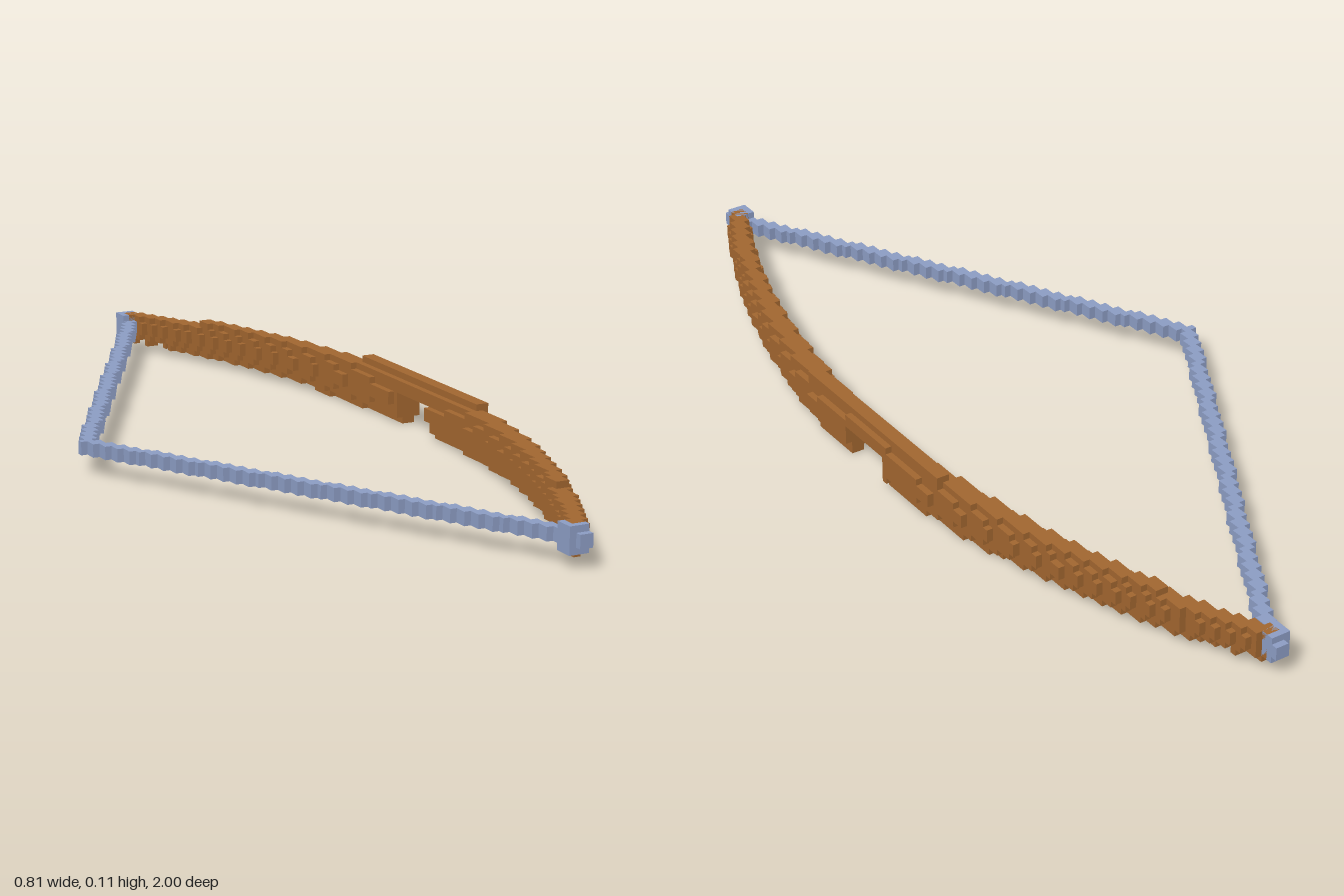
import * as THREE from 'three';
import { mergeGeometries } from 'three/addons/utils/BufferGeometryUtils.js';

const V = 2 / 145; // block size; grid is 59 x 8 x 145 blocks, z index k runs -72..72

// Box covering blocks x0..x1, y0..y1 and slices k0..k1 (inclusive)
function blockBox(x0, x1, y0, y1, k0, k1) {
  const g = new THREE.BoxGeometry((x1 - x0) * V, (y1 - y0) * V, (k1 - k0 + 1) * V);
  g.translate(((x0 + x1) / 2 - 29.5) * V, ((y0 + y1) / 2) * V, ((k0 + k1) / 2) * V);
  return g;
}

// Builds rows of blocks from run(y, k) -> [x0, x1] or null, joining equal slices
function blockRows(y0, y1, step, kMax, run) {
  const parts = [];
  for (let y = y0; y < y1; y += step) {
    let current = null, start = 0;
    for (let k = -kMax; k <= kMax + 1; k++) {
      const r = k <= kMax ? run(y, k) : null;
      const same = current && r && r[0] === current[0] && r[1] === current[1];
      if (same) continue;
      if (current) parts.push(blockBox(current[0], current[1], y, y + step, start, k - 1));
      current = r;
      start = k;
    }
  }
  return mergeGeometries(parts);
}

const sag = (k) => 145.5 - Math.sqrt(145.5 * 145.5 - k * k);
const inNotch = (y, k) => y < 5 && k >= -4 && k <= 5;

// Curved limb with rounded section, slimmer toward the tips
function limbRun(y, k) {
  const a = Math.abs(k);
  if (inNotch(y, k)) return null;
  if (y === 6 && a > 55) return null;
  if (y === 1 && a > 61 && a % 3) return null;
  const inset = [0, 0.3, 0.8][Math.floor(Math.abs(y + 0.5 - 4))];
  const inner = Math.round(54.6 - sag(k) + 2 * (k / 72) ** 2 + inset);
  const outer = Math.round(59.4 - sag(k) - inset);
  return [inner, Math.max(outer, inner + 1)];
}

// Low ridge under the grip, broken by the arrow notch
function lowerRun(y, k) {
  if (Math.abs(k) > 29 || inNotch(y, k)) return null;
  return [Math.round(56.2 - sag(k) * 0.8), Math.round(58.2 - sag(k))];
}

// Drawn string: two straight stepped runs meeting at the pull point
function stringRun(y, k) {
  const x = Math.round(Math.abs(k) * 0.557);
  return [x, x + 2];
}

export function createModel() {
  const wood = new THREE.MeshStandardMaterial({ color: 0xa0652f });
  wood.name = 'brown wood';
  const cord = new THREE.MeshStandardMaterial({ color: 0x8b9bc2 });
  cord.name = 'blue grey cord';

  const group = new THREE.Group();
  group.name = 'drawnBow';
  const add = (name, geometry, material) => {
    const mesh = new THREE.Mesh(geometry, material);
    mesh.name = name;
    group.add(mesh);
  };

  add('limbs', blockRows(1, 7, 1, 70, limbRun), wood);
  add('lowerGripRidge', blockRows(0, 1, 1, 29, lowerRun), wood);
  add('upperGripRidge', blockBox(56, 58, 7, 8, -17, 17), wood);
  add('string', blockRows(3, 5, 2, 70, stringRun), cord);

  // String knots wrapped round both limb tips
  for (const s of [-1, 1]) {
    const knot = (x0, x1, y0, y1, a, b) =>
      blockBox(x0, x1, y0, y1, Math.min(s * a, s * b), Math.max(s * a, s * b));
    add(s > 0 ? 'frontTipKnot' : 'backTipKnot', mergeGeometries([
      knot(38, 41, 2, 6, 69, 71),
      knot(39, 41, 3, 5, 72, 72),
    ]), cord);
  }
  return group;
}
